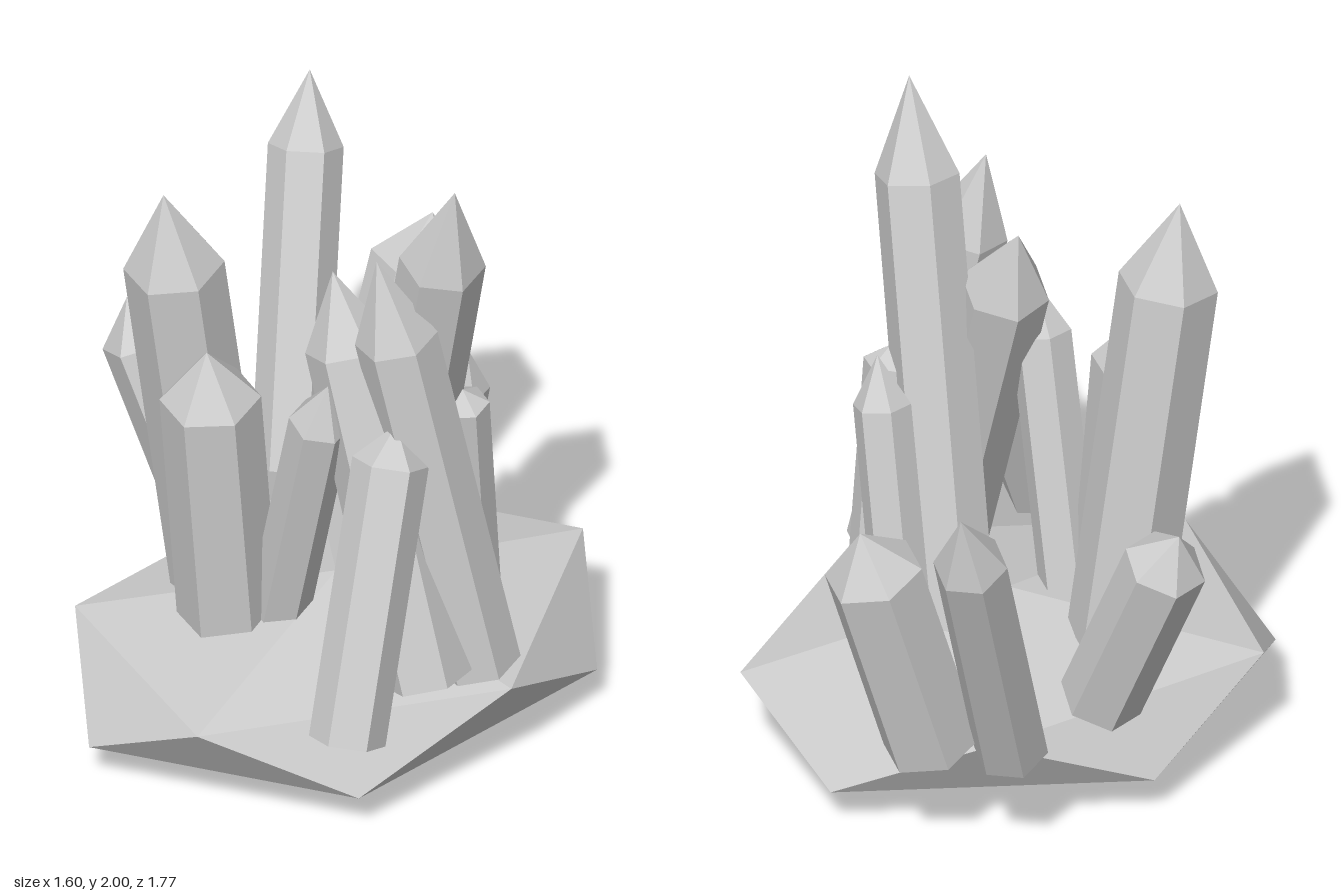
import * as THREE from 'three';
import { ConvexGeometry } from 'three/addons/geometries/ConvexGeometry.js';

const stone = new THREE.MeshStandardMaterial({ color: 0xcccccc, flatShading: true });
stone.name = 'pale grey stone';

// Squashed icosahedron standing on one of its points
function createRock() {
  const points = [new THREE.Vector3(0, 0.003, 0.175), new THREE.Vector3(0, 0.48, 0.175)];
  for (let i = 0; i < 5; i++) {
    const a = (i / 5) * Math.PI * 2;
    const x = 0.8 * Math.cos(a);
    const z = 0.617 * Math.sin(a);
    points.push(new THREE.Vector3(x, 0.35, 0.175 + z));
    points.push(new THREE.Vector3(-x, 0.137, 0.175 + z));
  }
  const rock = new THREE.Mesh(new ConvexGeometry(points), stone);
  rock.name = 'baseRock';
  return rock;
}

// Six-sided prism with a pointed end, running from foot to tip
function createCrystal(name, foot, tip, radius, pointHeight) {
  const start = new THREE.Vector3(...foot);
  const axis = new THREE.Vector3(...tip).sub(start);
  const length = axis.length();
  const profile = [
    new THREE.Vector2(0, 0),
    new THREE.Vector2(radius, 0),
    new THREE.Vector2(radius, length - pointHeight),
    new THREE.Vector2(0, length),
  ];
  const crystal = new THREE.Mesh(new THREE.LatheGeometry(profile, 6), stone);
  crystal.name = name;
  crystal.position.copy(start);
  crystal.quaternion.setFromUnitVectors(new THREE.Vector3(0, 1, 0), axis.normalize());
  return crystal;
}

export function createModel() {
  const group = new THREE.Group();
  group.name = 'crystalCluster';
  group.add(createRock());

  // name, foot, tip, radius, height of the point
  const crystals = [
    ['tallestCrystal', [0.165, 0.4, 0.17], [0.165, 2.0, 0.577], 0.124, 0.295],
    ['frontTallCrystal', [0.21, 0.38, 0.64], [-0.03, 1.76, 0.47], 0.12, 0.27],
    ['frontMiddleCrystal', [0.03, 0.4, 0.66], [-0.06, 1.605, 0.265], 0.13, 0.23],
    ['frontLeaningCrystal', [-0.3, 0.375, 0.79], [-0.015, 1.24, 0.56], 0.11, 0.11],
    ['smallFrontCrystal', [0.345, 0.39, 0.37], [0.265, 1.19, 0.44], 0.075, 0.05],
    ['smallSideCrystal', [0.325, 0.4, 0.13], [0.34, 1.24, 0.33], 0.085, 0.15],
    ['rightTallCrystal', [-0.255, 0.4, -0.04], [-0.447, 1.82, -0.03], 0.145, 0.26],
    ['rightShortCrystal', [-0.31, 0.4, 0.1], [-0.4, 1.36, 0.14], 0.145, 0.17],
    ['smallInnerCrystal', [-0.19, 0.4, 0.18], [-0.16, 1.335, 0.42], 0.09, 0.15],
    ['backShortCrystal', [-0.12, 0.38, -0.31], [-0.27, 1.06, -0.57], 0.122, 0.13],
    ['leftCrystal', [0.4, 0.37, -0.36], [0.63, 1.15, -0.405], 0.145, 0.15],
    ['backLeaningCrystal', [0.2, 0.37, -0.47], [0.47, 1.43, -0.84], 0.108, 0.22],
  ];
  for (const c of crystals) group.add(createCrystal(...c));
  return group;
}
